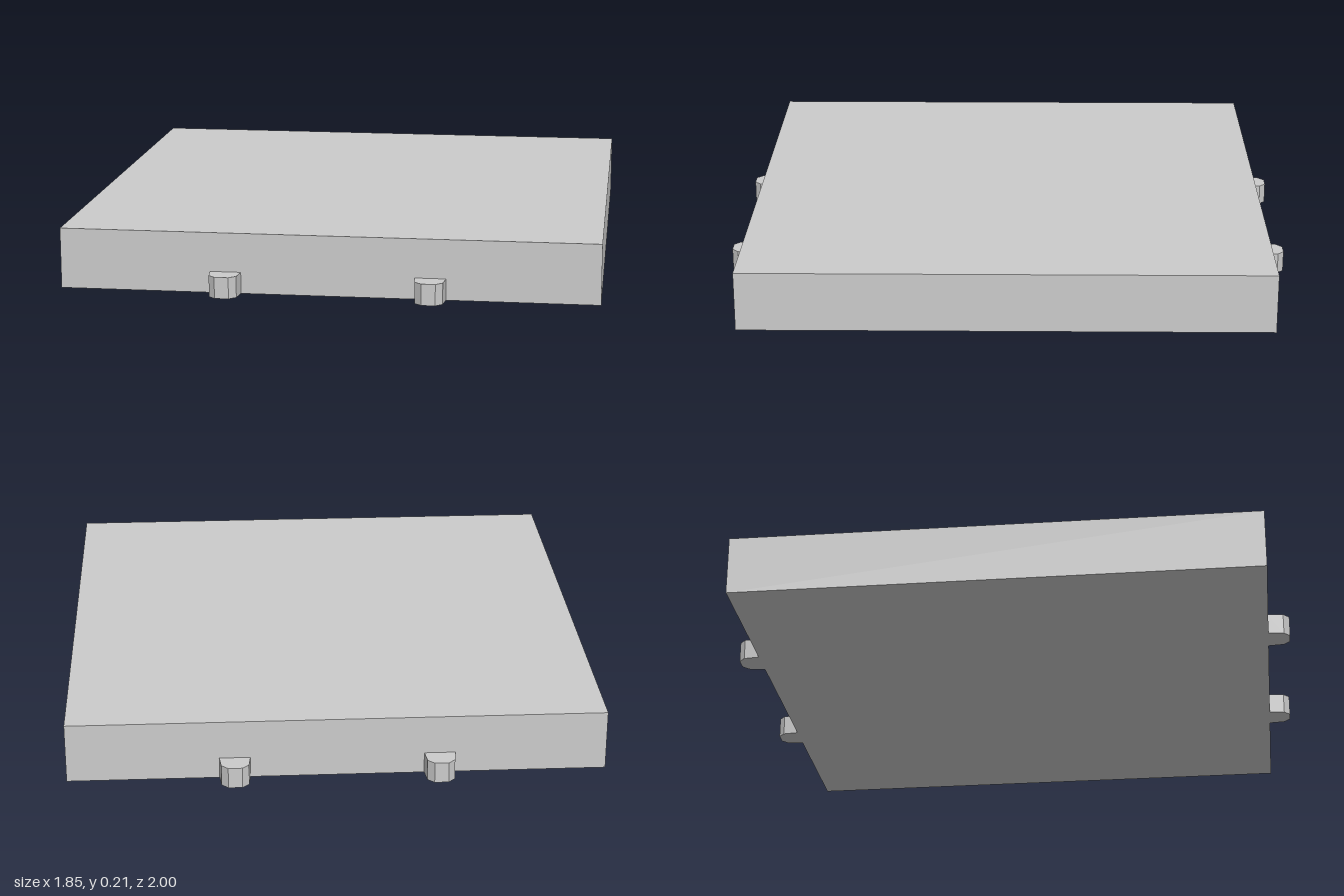
import * as THREE from 'three';

export function createModel() {
  const group = new THREE.Group();
  const material = new THREE.MeshStandardMaterial({ color: 0xcccccc, flatShading: true });
  const half = 0.923, height = 0.21, tabHeight = 0.074;

  // Square slab
  const slab = new THREE.Mesh(new THREE.BoxGeometry(half * 2, height, half * 2), material);
  slab.name = 'slab';
  slab.position.y = height / 2;
  group.add(slab);

  // Tapered tab outline with a faceted tip, pointing outward from the slab edge
  const outline = [
    [-0.053, -0.01], [0.053, -0.01], [0.053, 0], [0.047, 0.055],
    [0.024, 0.077], [-0.024, 0.077], [-0.047, 0.055], [-0.053, 0],
  ].map(([x, y]) => new THREE.Vector2(x, y));
  const tabGeometry = new THREE.ExtrudeGeometry(new THREE.Shape(outline), {
    depth: tabHeight, bevelEnabled: false,
  });
  tabGeometry.rotateX(-Math.PI / 2); // outline now points to -z, extruded up

  // Two tabs on the front edge and two on the back
  for (const end of [1, -1]) {
    for (const side of [1, -1]) {
      const tab = new THREE.Mesh(tabGeometry, material);
      tab.name = `${end > 0 ? 'front' : 'back'}${side > 0 ? 'Left' : 'Right'}Tab`;
      tab.position.set(side * 0.35, 0, end * half);
      if (end > 0) tab.rotation.y = Math.PI;
      group.add(tab);
    }
  }
  return group;
}
